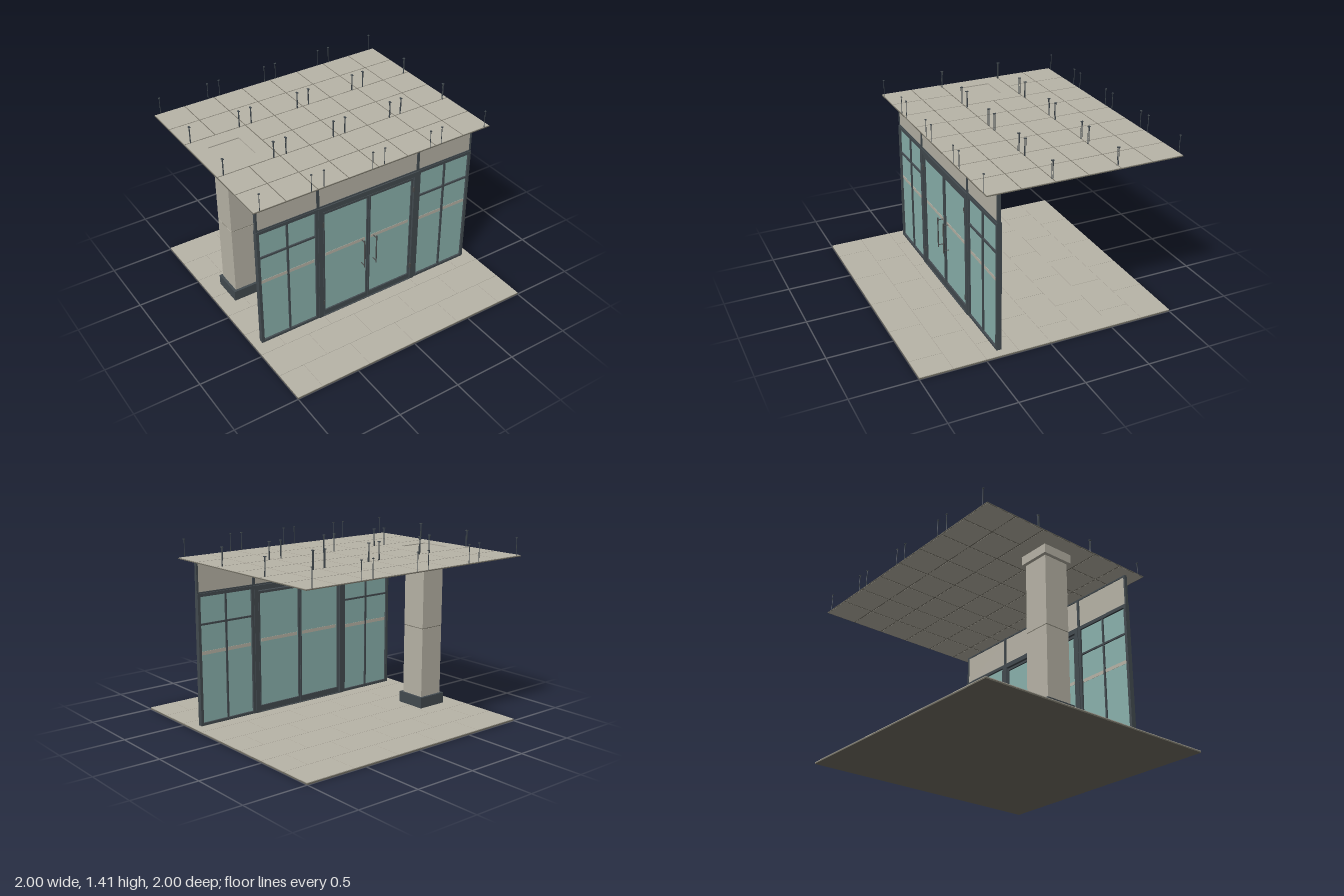
import * as THREE from 'three';

const mat = (name, color) => {
  const m = new THREE.MeshStandardMaterial({ color });
  m.name = name;
  return m;
};

export function createModel() {
  const stone = mat('warm stone', 0xb8b4a7);
  const grout = mat('grout', 0x716e62);
  const metal = mat('dark metal', 0x434b50);
  const glass = mat('tinted glass', 0x8bb3ae);
  const steel = mat('handle steel', 0x4c4d4d);

  const model = new THREE.Group();
  model.name = 'entrance';
  const group = (name, parent = model) => {
    const g = new THREE.Group();
    g.name = name;
    parent.add(g);
    return g;
  };
  // Box given by its lower and upper limits on each axis
  const box = (parent, name, material, [x0, x1], [y0, y1], [z0, z1]) => {
    const m = new THREE.Mesh(new THREE.BoxGeometry(x1 - x0, y1 - y0, z1 - z0), material);
    m.position.set((x0 + x1) / 2, (y0 + y1) / 2, (z0 + z1) / 2);
    m.name = name;
    parent.add(m);
    return m;
  };
  // Rectangular frame: two stiles and two rails
  const frame = (parent, name, material, [x0, x1], [y0, y1], z, w, bottom = w, top = w) => {
    box(parent, name + 'Stile', material, [x0, x0 + w], [y0, y1], z);
    box(parent, name + 'Stile', material, [x1 - w, x1], [y0, y1], z);
    box(parent, name + 'BottomRail', material, [x0 + w, x1 - w], [y0, y0 + bottom], z);
    box(parent, name + 'TopRail', material, [x0 + w, x1 - w], [y1 - top, y1], z);
  };

  // Floor: slab with running-bond paving and hairline joints
  const floor = group('floor');
  box(floor, 'slab', grout, [-1, 1], [0, 0.01], [-1, 1]);
  const gap = 0.0012;
  for (let row = 0; row < 8; row++) {
    const z = -1 + row * 0.25;
    for (let x = row % 2 ? -1.2 : -1; x < 0.99; x += 0.4) {
      const a = Math.max(x, -1), b = Math.min(x + 0.4, 1);
      box(floor, 'pavingTile', stone, [a + (a > -1 ? gap : 0), b - (b < 1 ? gap : 0)],
        [0.01, 0.015], [z + gap, z + 0.25 - gap]);
    }
  }

  // Ceiling: modules of four tiles, one replaced by a collar round the column
  const ceiling = group('ceiling');
  const hangers = group('hangers');
  const cx = -0.75, cz = -0.25;
  const rod = new THREE.CylinderGeometry(0.0025, 0.0025, 0.135, 8);
  for (let i = 0; i < 4; i++) {
    for (let j = 0; j < 3; j++) {
      const x0 = -1 + i * 0.5, z0 = -1 + j * 0.5;
      if (i === 0 && j === 1) {
        const shape = new THREE.Shape([[-1, -1], [1, -1], [1, 1], [-1, 1]]
          .map(([a, b]) => new THREE.Vector2(a * 0.245, b * 0.245)));
        shape.holes.push(new THREE.Path([[-1, -1], [-1, 1], [1, 1], [1, -1]]
          .map(([a, b]) => new THREE.Vector2(a * 0.125, b * 0.125))));
        const collar = new THREE.Mesh(
          new THREE.ExtrudeGeometry(shape, { depth: 0.01, bevelEnabled: false }), stone);
        collar.rotation.x = -Math.PI / 2;
        collar.position.set(cx, 1.267, cz);
        collar.name = 'columnCollar';
        ceiling.add(collar);
      } else {
        for (const dx of [0, 0.25]) for (const dz of [0, 0.25]) {
          box(ceiling, 'ceilingTile', stone, [x0 + dx + 0.004, x0 + dx + 0.246],
            [1.267, 1.277], [z0 + dz + 0.004, z0 + dz + 0.246]);
        }
        // Grid bars under the tile joints
        box(ceiling, 'gridBar', grout, [x0 + 0.246, x0 + 0.254], [1.268, 1.274], [z0, z0 + 0.5]);
        box(ceiling, 'gridBar', grout, [x0, x0 + 0.5], [1.268, 1.274], [z0 + 0.246, z0 + 0.254]);
      }
      frame(ceiling, 'moduleEdge', grout, [0, 0.5], [0, 0.5], [0, 0.006], 0.005);
      for (const bar of ceiling.children.slice(-4)) {
        const { x, y } = bar.position;
        bar.rotation.x = -Math.PI / 2;
        bar.position.set(x0 + x, 1.271, z0 + y);
      }
      // Suspension rods with small fixing plates
      for (const x of [x0 + 0.05, x0 + 0.45]) for (const z of [z0 + 0.005, z0 + 0.495]) {
        const r = new THREE.Mesh(rod, metal);
        r.position.set(x, 1.342, z);
        r.name = 'hangerRod';
        hangers.add(r);
        box(hangers, 'hangerPlate', metal, [x - 0.007, x + 0.007], [1.406, 1.412], [z - 0.005, z + 0.005]);
      }
    }
  }

  // Column
  const column = group('column');
  const block = (name, material, half, y) =>
    box(column, name, material, [cx - half, cx + half], y, [cz - half, cz + half]);
  block('plinth', metal, 0.123, [0.015, 0.1]);
  block('lowerShaft', stone, 0.102, [0.1, 0.648]);
  block('shaftJoint', grout, 0.1, [0.648, 0.654]);
  block('upperShaft', stone, 0.102, [0.654, 1.195]);
  block('capitalJoint', grout, 0.1, [1.195, 1.2]);
  block('capital', stone, 0.123, [1.2, 1.27]);

  // Fascia above the glazing
  const fascia = group('fascia');
  const zPost = [0.367, 0.39], zPanel = [0.372, 0.385], zGlass = [0.372, 0.38], zStrip = [0.37, 0.382];
  for (const [a, b] of [[-0.925, -0.443], [-0.428, 0.428], [0.443, 0.925]]) {
    box(fascia, 'fasciaPanel', stone, [a, b], [1.02, 1.257], zPanel);
  }
  box(fascia, 'topRail', metal, [-0.935, 0.935], [1.255, 1.267], zPost);
  box(fascia, 'lowerRail', metal, [-0.935, 0.935], [1.015, 1.03], zPost);

  const wall = group('shopfront');
  box(wall, 'portalHeader', metal, [-0.44, 0.44], [0.982, 1.02], [0.352, 0.4]);
  box(wall, 'threshold', metal, [-0.4, 0.4], [0.015, 0.019], [0.352, 0.4]);

  // Left half; the right half is mirrored
  for (const s of [1, -1]) {
    const side = s > 0 ? 'left' : 'right';
    const span = (a, b) => (s > 0 ? [a, b] : [-b, -a]);

    // Posts and portal jamb
    box(wall, side + 'EndPost', metal, span(0.92, 0.935), [0.015, 1.267], zPost);
    box(wall, side + 'FasciaPost', metal, span(0.425, 0.446), [1.02, 1.267], [0.364, 0.392]);
    box(wall, side + 'Jamb', metal, span(0.402, 0.438), [0.015, 1.02], [0.352, 0.4]);

    // Side window
    const win = group(side + 'Window', wall);
    frame(win, 'windowFrame', metal, span(0.438, 0.935), [0.015, 1.02], [0.357, 0.395], 0.022, 0.02, 0.024);
    box(win, 'windowGlass', glass, span(0.455, 0.915), [0.03, 1.0], zGlass);
    box(win, 'mullion', metal, span(0.682, 0.696), [0.03, 1.0], [0.362, 0.392]);
    box(win, 'transom', metal, span(0.455, 0.915), [0.781, 0.795], [0.362, 0.392]);
    box(win, 'safetyStrip', stone, span(0.465, 0.908), [0.555, 0.582], zStrip);

    // Door leaf
    const door = group(side + 'Door', wall);
    frame(door, 'doorFrame', metal, span(0.003, 0.395), [0.021, 0.972], [0.36, 0.392], 0.012, 0.044, 0.018);
    box(door, 'doorGlass', glass, span(0.012, 0.388), [0.06, 0.96], zGlass);
    box(door, 'safetyStrip', stone, span(0.025, 0.37), [0.572, 0.598], zStrip);
    for (const y of [0.15, 0.87]) {
      box(door, 'hinge', steel, span(0.392, 0.406), [y - 0.02, y + 0.02], [0.386, 0.402]);
    }

    // Pull handle with two standoffs
    const bar = new THREE.Mesh(new THREE.CylinderGeometry(0.005, 0.005, 0.25, 16), steel);
    bar.position.set(s * 0.053, 0.475, 0.422);
    bar.name = 'handleBar';
    door.add(bar);
    for (const y of [0.368, 0.582]) {
      const arm = new THREE.Mesh(new THREE.CylinderGeometry(0.0035, 0.0035, 0.045, 12), steel);
      arm.rotation.x = Math.PI / 2;
      arm.position.set(s * 0.053, y, 0.4);
      arm.name = 'handleStandoff';
      door.add(arm);
    }
  }
  return model;
}
